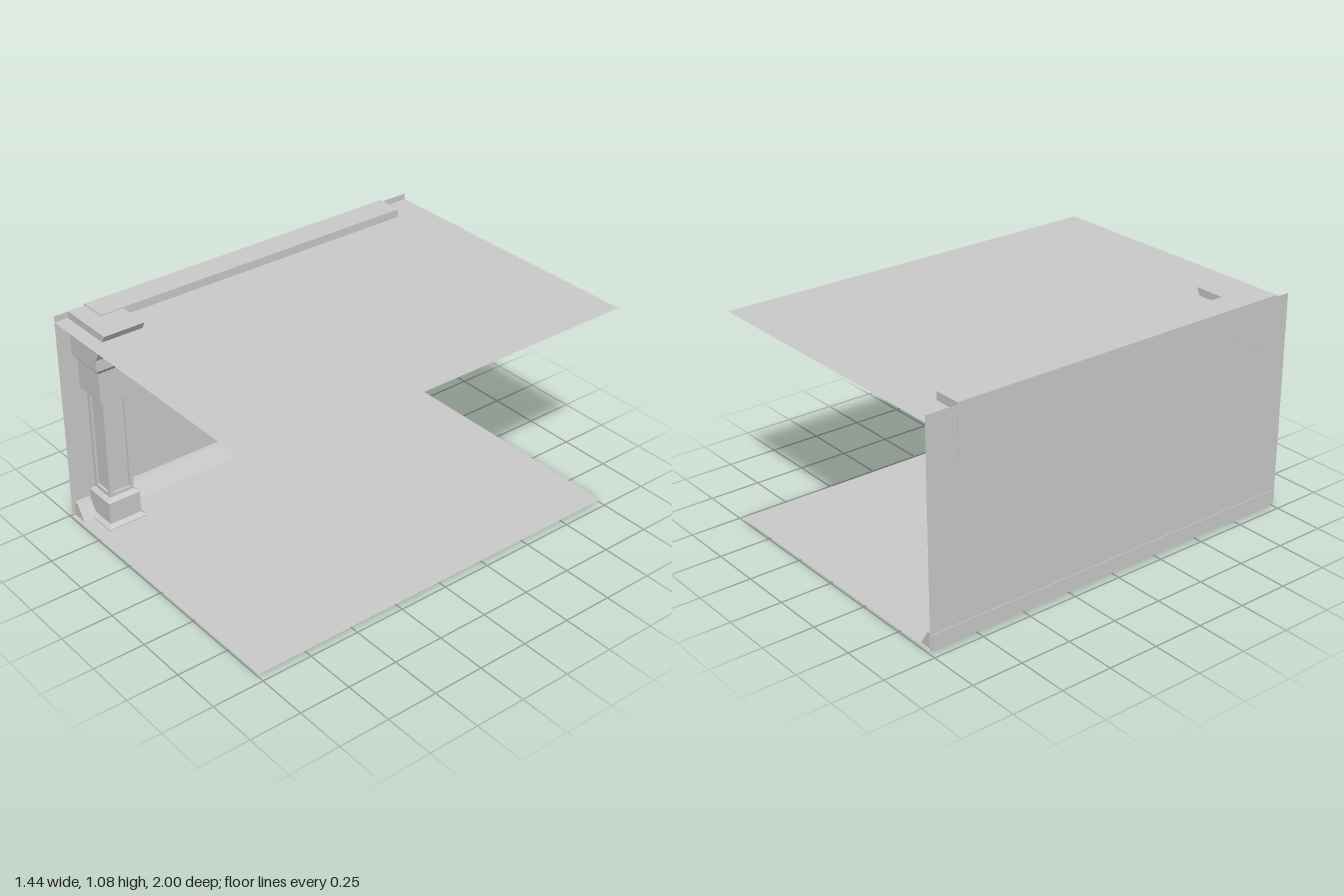
import * as THREE from 'three';

export function createModel() {
  const group = new THREE.Group();
  const solid = new THREE.MeshStandardMaterial({ color: 0xcccccc, flatShading: true });
  const thin = new THREE.MeshStandardMaterial({ color: 0xcccccc, side: THREE.DoubleSide });

  function add(parent, name, geometry, material = solid) {
    const mesh = new THREE.Mesh(geometry, material);
    mesh.name = name;
    parent.add(mesh);
    return mesh;
  }
  const shapeOf = (pts) => new THREE.Shape(pts.map(([x, y]) => new THREE.Vector2(x, y)));
  const extrude = (shape, depth) => new THREE.ExtrudeGeometry(shape, { depth, bevelEnabled: false });
  const rect = (w, y0, y1) => [[-w, y0], [w, y0], [w, y1], [-w, y1]];

  // Thin floor, ceiling and side wall
  for (const [name, y] of [['floor', 0.015], ['ceiling', 1.04]]) {
    add(group, name, new THREE.PlaneGeometry(1.44, 2).rotateX(-Math.PI / 2), thin).position.y = y;
  }
  add(group, 'wall', new THREE.PlaneGeometry(2, 1.055).rotateY(Math.PI / 2), thin)
    .position.set(-0.72, 0.5425, 0);

  // Skirting with a sloped face along the foot of the wall
  add(group, 'skirting', extrude(shapeOf([
    [-0.724, 0.017], [-0.645, 0.017], [-0.693, 0.09], [-0.724, 0.09],
  ]), 1.975)).position.z = -0.99;

  // Beam with an angled bracket at each end
  add(group, 'beam', extrude(shapeOf([
    [-0.845, 0.83], [-0.66, 0.96], [0.66, 0.96], [0.845, 0.83], [0.845, 1.08], [-0.845, 1.08],
  ]), 0.134).rotateY(Math.PI / 2)).position.x = -0.722;

  // Square pillar
  const pillar = new THREE.Group();
  pillar.name = 'pillar';
  pillar.position.set(-0.613, 0, 0.83);
  group.add(pillar);

  // Square stepped block from a profile of [half width, height]
  const stepped = (profile) => new THREE.LatheGeometry(
    profile.map(([h, y]) => new THREE.Vector2(h * Math.SQRT2, y)), 4, Math.PI / 4);

  add(pillar, 'base', stepped([
    [0, 0], [0.102, 0], [0.102, 0.02], [0.083, 0.036], [0.083, 0.146], [0.064, 0.164], [0, 0.164],
  ]));
  add(pillar, 'neck', stepped([
    [0, 0.677], [0.064, 0.677], [0.085, 0.69], [0.085, 0.838], [0.102, 0.862], [0, 0.862],
  ]));

  // Shaft: a core with a raised frame around a sunk panel on every side
  const half = 0.064, depth = 0.012, core = half - depth;
  add(pillar, 'shaftCore', new THREE.BoxGeometry(core * 2, 0.515, core * 2)).position.y = 0.42;
  for (let i = 0; i < 4; i++) {
    const frame = shapeOf(rect(i % 2 ? core : half, 0.162, 0.68));
    frame.holes.push(shapeOf(rect(0.046, 0.182, 0.66)));
    add(pillar, 'shaftFrame', extrude(frame, depth).translate(0, 0, core)).rotation.y = i * Math.PI / 2;
  }

  // Capital flaring towards the room
  add(pillar, 'capital', extrude(shapeOf([
    [-0.102, 0.86], [0.102, 0.86], [0.102, 0.916], [0.19, 1.075], [-0.102, 1.075],
  ]), 0.204)).position.z = -0.102;

  return group;
}
